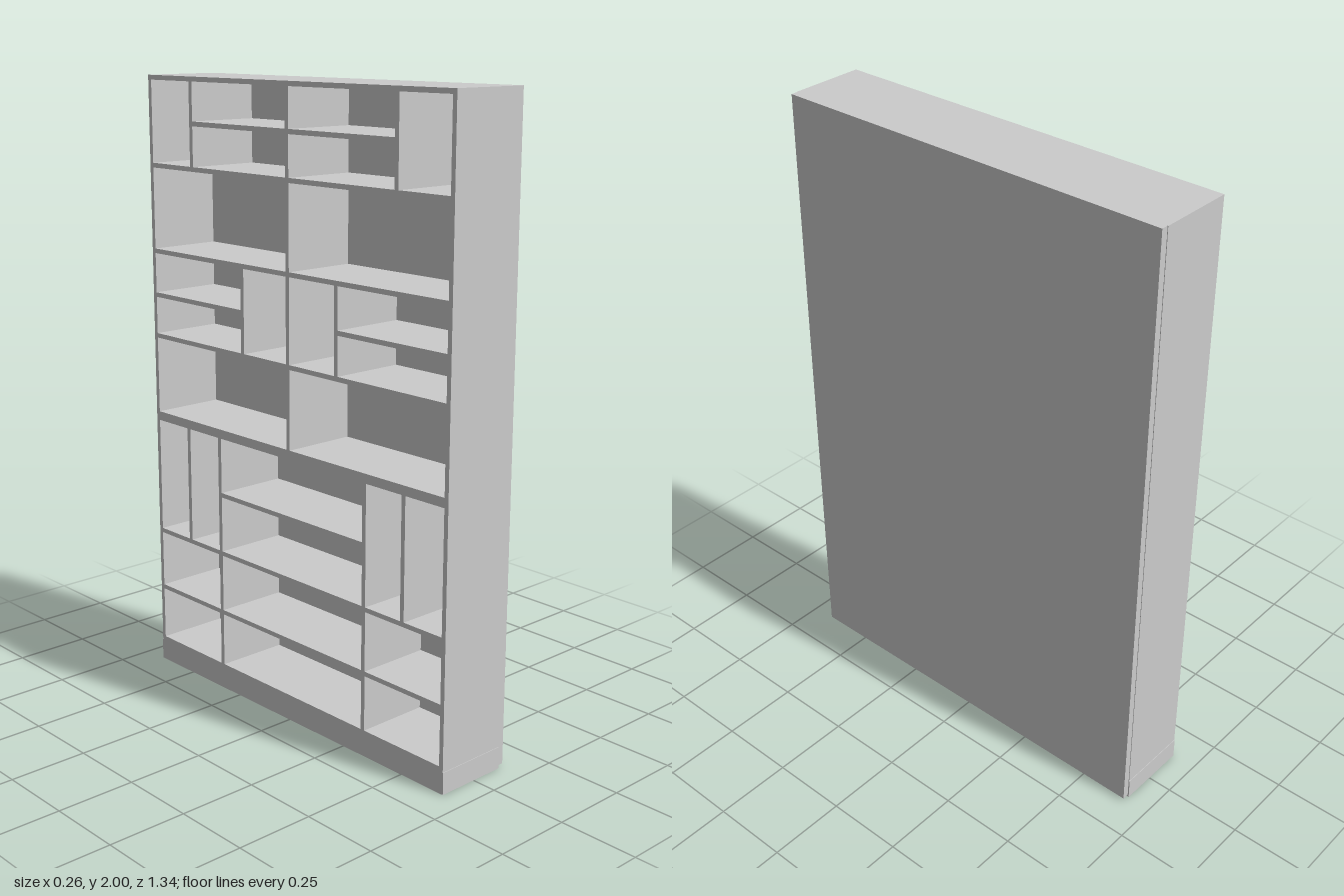
import * as THREE from 'three';

const T = 0.015;                 // board thickness
const BACK = 0.11;               // inner face of the back panel
const FRONT = -0.132;            // open side
const W = 0.668;                 // half width

export function createModel() {
  const group = new THREE.Group();
  const material = new THREE.MeshStandardMaterial({ color: 0xcccccc });

  // box given by its limits on each axis
  function box(name, x0, x1, y0, y1, z0, z1) {
    const mesh = new THREE.Mesh(new THREE.BoxGeometry(x1 - x0, y1 - y0, z1 - z0), material);
    mesh.position.set((x0 + x1) / 2, (y0 + y1) / 2, (z0 + z1) / 2);
    mesh.name = name;
    group.add(mesh);
  }
  // horizontal board centred on height y, vertical board centred on depth z
  const shelf = (name, y, z0, z1) => box(name, FRONT, BACK, y - T / 2, y + T / 2, z0, z1);
  const upright = (name, z, y0, y1) => box(name, FRONT, BACK, y0, y1, z - T / 2, z + T / 2);
  // the same board on both halves
  const shelfPair = (name, y, z0, z1) => {
    shelf(name + 'Left', y, z0, z1);
    shelf(name + 'Right', y, -z1, -z0);
  };
  const uprightPair = (name, z, y0, y1) => {
    upright(name + 'Left', z, y0, y1);
    upright(name + 'Right', -z, y0, y1);
  };

  const h = T / 2, inner = W - T;
  const base = 0.07, split = 0.88, top = 2;

  // plinth and back panel
  box('plinth', FRONT, BACK, 0, base, -W - 0.002, W + 0.002);
  box('backPanel', BACK, 0.132, 0.008, top, -W + 0.002, W - 0.002);

  // carcasses of the lower and upper units
  for (const [unit, y0, y1] of [['lower', base, split], ['upper', split, top]]) {
    uprightPair(unit + 'Side', W - h, y0, y1);
    shelf(unit + 'Bottom', y0 + h, -inner, inner);
    shelf(unit + 'Top', y1 - h, -inner, inner);
  }

  // upper unit: centre divider and four rows mirrored about it
  const rows = [1.155, 1.437, 1.715];
  upright('centreDivider', 0, split + T, top - T);
  rows.forEach((y, i) => shelfPair('upperShelf' + (i + 1), y, h, inner));
  uprightPair('topRowDivider', 0.452, rows[2] + h, top - T);
  shelfPair('topRowHalfShelf', 1.856, h, 0.452 - h);
  uprightPair('middleRowDivider', 0.212, rows[0] + h, rows[1] - h);
  shelfPair('middleRowHalfShelf', 1.292, 0.212 + h, inner);

  // lower unit: wide middle bay with shelves, side bays with tall slots
  const bay = 0.335, levels = [0.27, 0.475, 0.675];
  uprightPair('bayDivider', bay, base + T, split - T);
  levels.forEach((y, i) => shelf('bayShelf' + (i + 1), y, -bay + h, bay - h));
  for (const i of [0, 1]) shelfPair('sideBayShelf' + (i + 1), levels[i], bay + h, inner);
  uprightPair('slotDivider', 0.495, levels[1] + h, split - T);

  return group;
}
